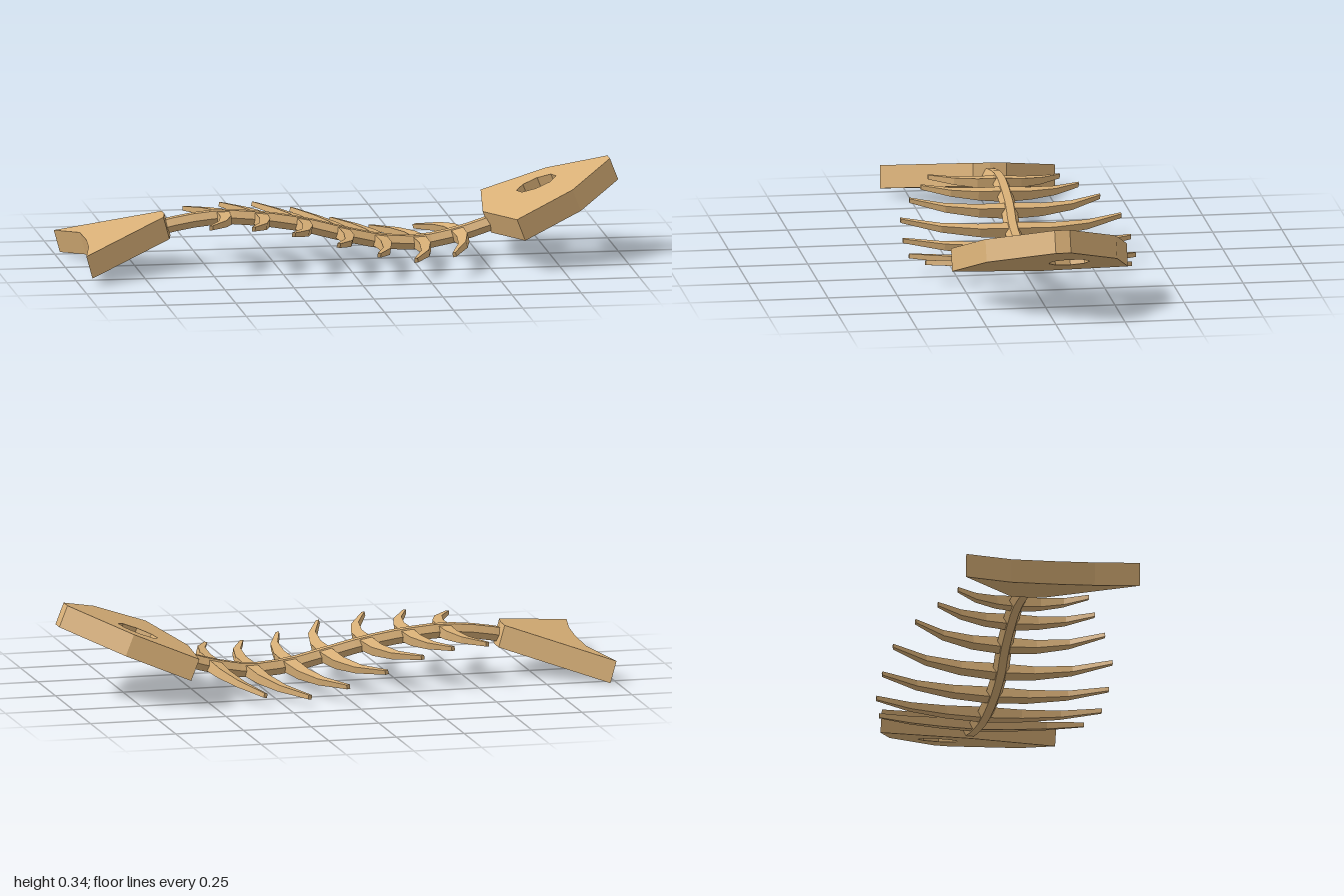
import * as THREE from 'three';

const bone = new THREE.MeshStandardMaterial({ color: 0xd9b077, flatShading: true });

// Centre line of the spine as x, y, z
const spinePoints = [
  [-0.68, 0.132, 0], [-0.57, 0.155, -0.005], [-0.43, 0.168, -0.008], [-0.295, 0.158, -0.005],
  [-0.145, 0.134, 0], [0, 0.098, 0.01], [0.135, 0.068, 0.008], [0.28, 0.058, 0.002],
  [0.42, 0.082, -0.003], [0.6, 0.138, -0.005],
].map((p) => new THREE.Vector3(...p));

// Flat plate: outline holds x, z of its underside; it is tilted about an anchor on that underside
function plate(name, outline, anchor, tilt, roll, hole) {
  const [ax, ay] = anchor;
  const toPlane = ([x, z]) => new THREE.Vector2((x - ax) / Math.cos(tilt), -z);
  const shape = new THREE.Shape(outline.map(toPlane));
  if (hole) shape.holes.push(new THREE.Path(hole.map(toPlane)));
  const geometry = new THREE.ExtrudeGeometry(shape, { depth: 0.083, bevelEnabled: false });
  geometry.rotateX(-Math.PI / 2 + roll).rotateZ(tilt).translate(ax, ay, 0);
  const mesh = new THREE.Mesh(geometry, bone);
  mesh.name = name;
  return mesh;
}

// Pair of curved, tapering ribs made as one bent bar across the spine
function ribPair(halfLength, sweep) {
  const geometry = new THREE.BoxGeometry(1, 1, 1, 1, 1, 6);
  const pos = geometry.attributes.position;
  for (let i = 0; i < pos.count; i++) {
    const z = pos.getZ(i) * 2;
    const t = Math.abs(z);
    const width = 0.046 - 0.034 * t ** 1.6;
    const height = 0.042 - 0.026 * t;
    pos.setXYZ(i, pos.getX(i) * width - sweep * t ** 2.6, pos.getY(i) * height, z * halfLength);
  }
  geometry.computeVertexNormals();
  return new THREE.Mesh(geometry, bone);
}

export function createModel() {
  const model = new THREE.Group();
  model.name = 'fishSkeleton';

  // Head with an eight-sided eye hole
  const eye = [];
  for (let i = 0; i < 8; i++) {
    const a = (i / 8) * Math.PI * 2 + 0.2;
    eye.push([0.747 + 0.071 * Math.cos(a), -0.085 + 0.074 * Math.sin(a)]);
  }
  model.add(plate('head', [
    [0.54, 0], [0.615, 0.318], [0.83, 0.225], [1, 0], [1, -0.055], [0.805, -0.25], [0.582, -0.322],
  ], [0.54, 0.083], 0.373, 0, eye));

  // Forked tail fin
  model.add(plate('tailFin', [
    [-0.62, 0], [-0.622, -0.06], [-0.978, -0.287], [-0.91, -0.11], [-0.91, 0.05], [-0.922, 0.19],
    [-0.953, 0.348], [-0.632, 0.06],
  ], [-0.62, 0.107], 0.265, -0.03));

  // Spine
  const curve = new THREE.CatmullRomCurve3(spinePoints);
  const spine = new THREE.Mesh(new THREE.TubeGeometry(curve, 18, 0.029, 6), bone);
  spine.name = 'spine';
  model.add(spine);

  // Ribs, each lying along the slope of the spine: half length, sweep
  const ribs = new THREE.Group();
  ribs.name = 'ribs';
  [[0.24, 0.092], [0.288, 0.085], [0.348, 0.105], [0.403, 0.1], [0.416, 0.088], [0.413, 0.095], [0.375, 0.088]]
    .forEach(([halfLength, sweep], i) => {
      const before = spinePoints[i + 1];
      const at = spinePoints[i + 2];
      const after = spinePoints[i + 3];
      const rib = ribPair(halfLength, sweep);
      rib.name = `ribPair${i + 1}`;
      rib.position.set(at.x, at.y, -0.003);
      rib.rotation.set(-0.04, 0.05, Math.atan2(after.y - before.y, after.x - before.x), 'ZYX');
      ribs.add(rib);
    });
  model.add(ribs);
  return model;
}
